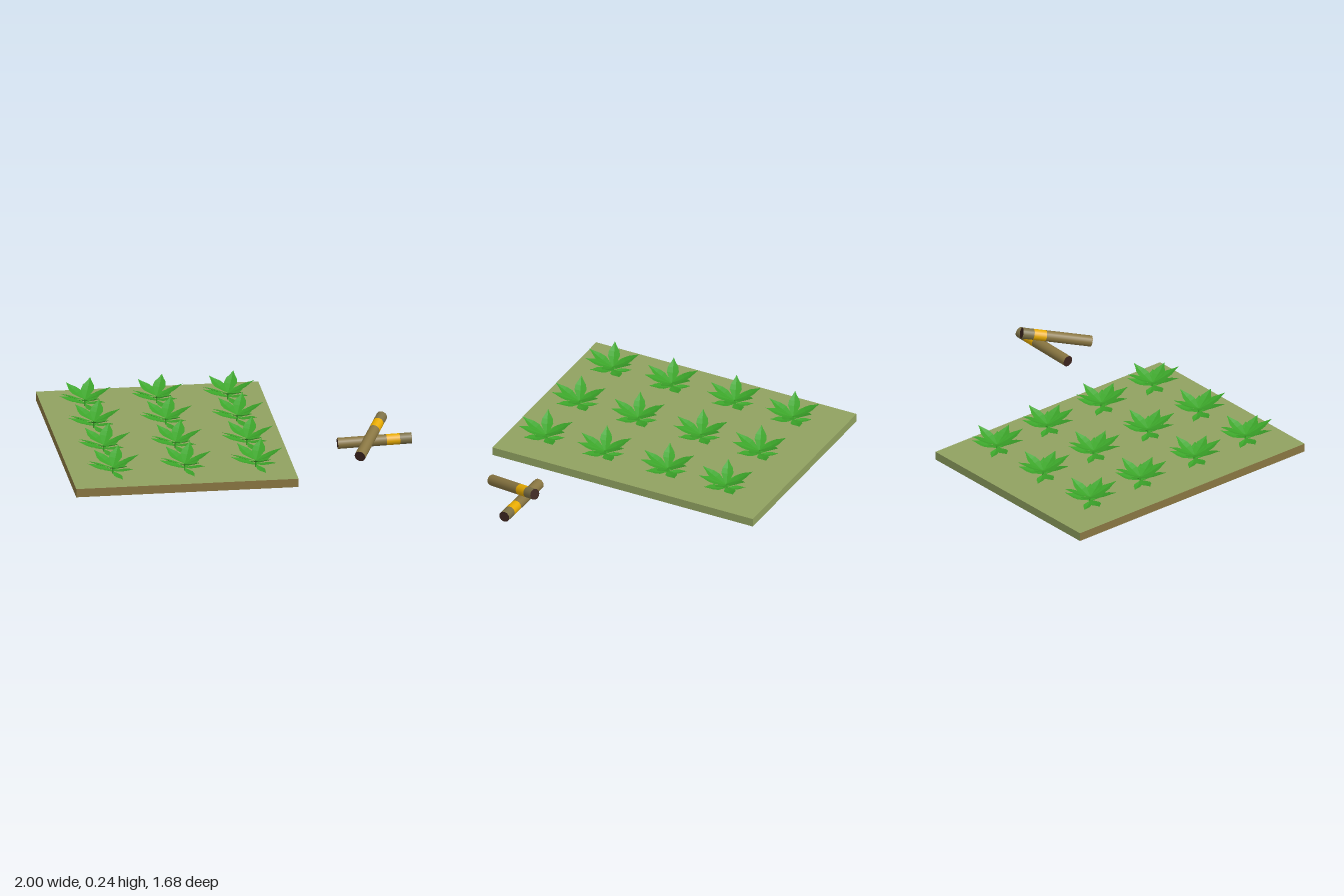
import * as THREE from 'three';
import { mergeGeometries } from 'three/addons/utils/BufferGeometryUtils.js';

const mat = (name, color, extra = {}) => {
  const m = new THREE.MeshStandardMaterial({ color, ...extra });
  m.name = name;
  return m;
};

// A pointed leaf with a sunken midrib, running from the stem to its tip
function leafGeometry([baseY, dx, tipY, dz, half]) {
  const stations = [[0, 0.1], [0.2, 0.55], [0.45, 1], [0.65, 0.85], [0.85, 0.33], [1, 0.02]];
  const base = new THREE.Vector3(0, baseY, 0);
  const tip = new THREE.Vector3(dx, tipY, dz);
  const side = new THREE.Vector3(dz, 0, -dx).normalize();
  const pos = [], index = [];
  stations.forEach(([t, w], i) => {
    const c = base.clone().lerp(tip, t);
    for (const s of [1, 0, -1]) {
      const p = c.clone().addScaledVector(side, s * w * half);
      if (s === 0) p.y -= 0.006 * w;
      pos.push(p.x, p.y, p.z);
    }
    if (i === 0) return;
    for (let k = 0; k < 2; k++) {
      const a = (i - 1) * 3 + k, b = i * 3 + k;
      index.push(a, a + 1, b, a + 1, b + 1, b);
    }
  });
  const g = new THREE.BufferGeometry();
  g.setAttribute('position', new THREE.Float32BufferAttribute(pos, 3));
  g.setIndex(index);
  const flat = g.toNonIndexed();
  flat.computeVertexNormals();
  return flat;
}

export function createModel() {
  const model = new THREE.Group();
  model.name = 'cropField';

  const grass = mat('grass', 0x90a160);
  const wood = mat('wood', 0x887541);
  const endGrain = mat('endGrain', 0x3b241e);
  const tipWood = mat('tipWood', 0x7c7046);
  const band = mat('yellowBand', 0xeeb000);
  const underside = mat('underside', 0x727272);
  const leaf = mat('leaf', 0x3ba429, { side: THREE.DoubleSide, flatShading: true });

  // Field slab: green on top, right and back, brown on front and the other side
  const slab = new THREE.Mesh(
    new THREE.BoxGeometry(1.285, 0.05, 1.68),
    [grass, wood, grass, underside, wood, grass]
  );
  slab.name = 'fieldSlab';
  slab.position.set(-0.3575, 0.025, 0);
  model.add(slab);

  // One plant: [base y, tip x, tip y, tip z, half width] for each leaf
  const leaves = [
    // Upper whorl
    [0.09, 0.05, 0.17, -0.145, 0.038],
    [0.085, 0.152, 0.155, -0.01, 0.036],
    [0.085, 0.065, 0.14, 0.145, 0.036],
    [0.085, -0.03, 0.145, 0.17, 0.034],
    [0.085, -0.152, 0.155, 0.068, 0.035],
    [0.09, -0.093, 0.155, -0.12, 0.038],
    // Lower whorl
    [0.068, 0.107, 0.105, -0.096, 0.034],
    [0.068, 0.105, 0.1, 0.092, 0.034],
    [0.068, -0.142, 0.1, -0.045, 0.034],
    // Small leaves near the ground
    [0.062, 0.04, 0.056, 0.13, 0.022],
    [0.062, -0.06, 0.06, -0.09, 0.022],
  ];
  const plantGeometry = mergeGeometries(leaves.map(leafGeometry));
  const stemGeometry = new THREE.CylinderGeometry(0.005, 0.006, 0.042, 6);
  const plants = new THREE.Group();
  plants.name = 'plants';
  for (const x of [-0.755, -0.34, 0.072]) {
    for (const z of [-0.56, -0.183, 0.223, 0.603]) {
      const plant = new THREE.Group();
      plant.name = 'plant';
      const foliage = new THREE.Mesh(plantGeometry, leaf);
      foliage.name = 'leaves';
      const stem = new THREE.Mesh(stemGeometry, leaf);
      stem.name = 'stem';
      stem.position.y = 0.069;
      plant.add(foliage, stem);
      plant.position.set(x, 0, z);
      plants.add(plant);
    }
  }
  model.add(plants);

  // A pole between two points with a yellow band near its far end
  function addPole(name, from, to) {
    const a = new THREE.Vector3(...from), b = new THREE.Vector3(...to);
    const length = a.distanceTo(b);
    const r = 0.032;
    const pole = new THREE.Group();
    pole.name = name;
    const section = (partName, t0, t1, material) => {
      const g = new THREE.CylinderGeometry(r, r, (t1 - t0) * length, 20);
      const m = new THREE.Mesh(g, [material, endGrain, endGrain]);
      m.name = partName;
      m.position.y = (t0 + t1) / 2 * length;
      pole.add(m);
    };
    section('poleShaft', 0, 0.66, wood);
    section('poleBand', 0.66, 0.84, band);
    section('poleTip', 0.84, 1, tipWood);
    pole.position.copy(a);
    pole.quaternion.setFromUnitVectors(new THREE.Vector3(0, 1, 0), b.sub(a).normalize());
    model.add(pole);
  }
  addPole('lowerPole', [0.572, 0.093, 0.392], [0.999, 0.106, 0.392]);
  addPole('upperPole', [0.667, 0.098, 0.644], [0.844, 0.205, 0.276]);

  return model;
}
